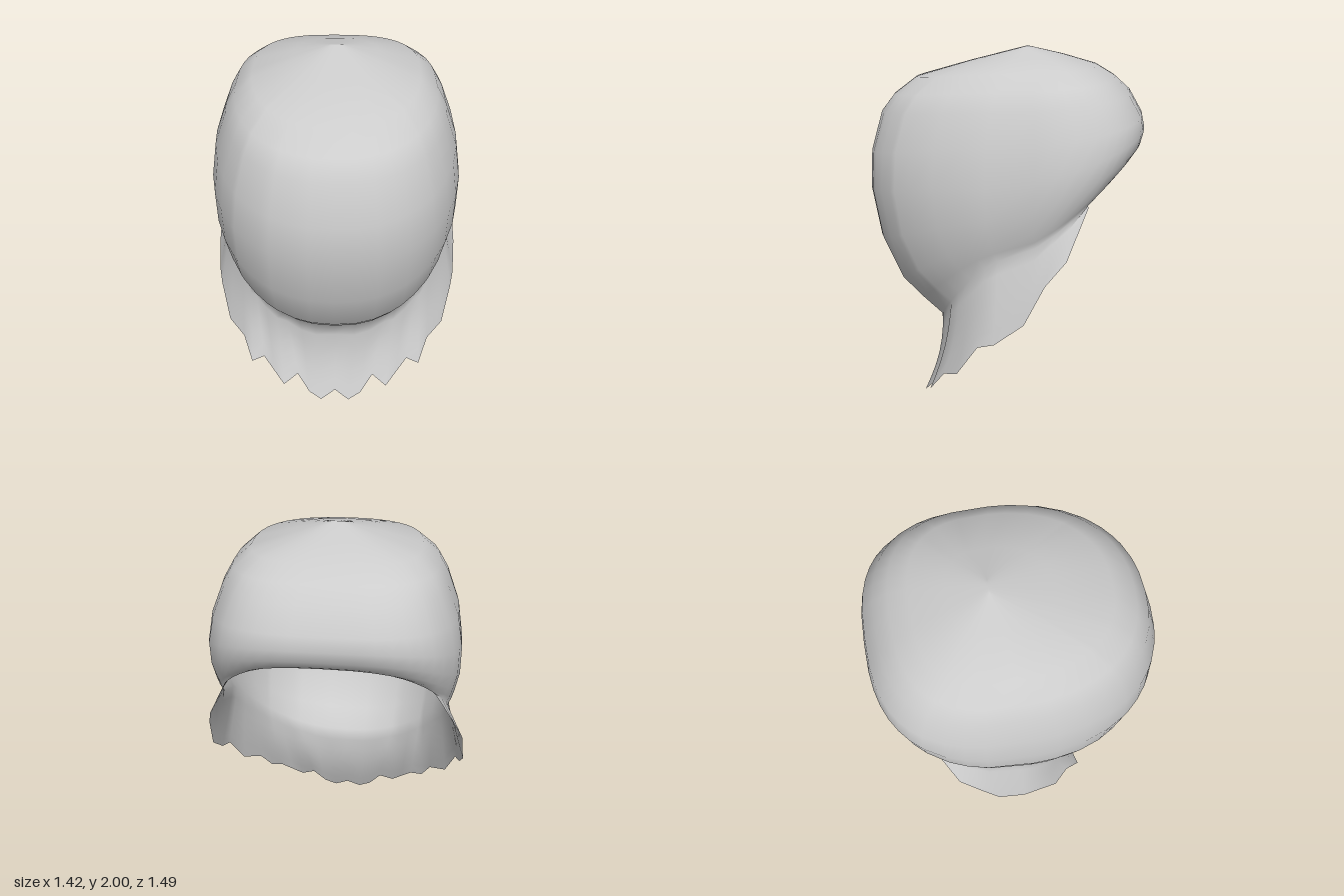
import * as THREE from 'three';

const paleGrey = new THREE.MeshStandardMaterial({ color: 0xcccccc, side: THREE.DoubleSide });
paleGrey.name = 'paleGrey';

// Hood rings from crown to rim: front [z, y], side [x, y, z], back [z, y]
const RINGS = [
  [[-0.11, 2.0], [0.03, 2.0, -0.11], [-0.11, 2.0]],
  [[0.2, 1.92], [0.22, 1.95, -0.1], [-0.3, 1.955]],
  [[0.48, 1.84], [0.43, 1.89, -0.08], [-0.48, 1.9]],
  [[0.6, 1.75], [0.52, 1.81, -0.07], [-0.58, 1.84]],
  [[0.67, 1.66], [0.57, 1.72, -0.06], [-0.66, 1.77]],
  [[0.73, 1.45], [0.63, 1.56, -0.05], [-0.73, 1.65]],
  [[0.74, 1.25], [0.66, 1.37, -0.05], [-0.745, 1.58]],
  [[0.69, 0.97], [0.66, 1.21, -0.05], [-0.73, 1.52]],
  [[0.58, 0.72], [0.64, 1.1, -0.06], [-0.7, 1.48]],
  [[0.46, 0.6], [0.625, 1.04, -0.07], [-0.68, 1.465]],
  [[0.35, 0.5], [0.61, 1.0, -0.08], [-0.66, 1.46]],
];
const RIM = RINGS[RINGS.length - 1];

// Point on a tilted ring, squarer behind; phi = 0 at the front, PI at the back
function ringPoint([front, side, back], phi) {
  const c = Math.cos(phi), s = Math.sin(phi);
  const end = c > 0 ? front : back;
  const power = c > 0 ? 0.88 : 0.72;
  const t = Math.abs(c) ** power;
  return new THREE.Vector3(
    side[0] * Math.sign(s) * Math.abs(s) ** power,
    side[1] + (end[1] - side[1]) * t ** 1.5,
    side[2] + (end[0] - side[2]) * t
  );
}

// Jagged hem of the cape, from the front middle to the end at the side
const HALF_HEM = [
  [0, 0.05, 0.42], [0.08, 0, 0.45], [0.15, 0.04, 0.43], [0.22, 0.14, 0.38], [0.3, 0.09, 0.42],
  [0.36, 0.155, 0.37], [0.42, 0.22, 0.32], [0.49, 0.2, 0.34], [0.54, 0.32, 0.25], [0.63, 0.37, 0.16],
  [0.68, 0.55, 0.04], [0.7, 0.58, -0.05], [0.71, 0.7, -0.2], [0.69, 0.9, -0.3], [0.65, 1.02, -0.4],
  [0.53, 1.26, -0.49],
];

export function createModel() {
  const group = new THREE.Group();
  group.name = 'hood';

  const hem = [
    ...HALF_HEM.slice(1).reverse().map(([x, y, z]) => [-x, y, z]),
    ...HALF_HEM,
  ].map((p) => new THREE.Vector3(...p));
  const hemAngles = hem.map((p) => Math.atan2(p.x, p.z + 0.08));

  // Columns run along the hem, then round the back where there is no cape
  const endAngle = hemAngles[hem.length - 1];
  const backSteps = 14;
  const angles = [...hemAngles];
  for (let i = 1; i < backSteps; i++) {
    angles.push(endAngle + (i / backSteps) * 2 * (Math.PI - endAngle));
  }

  // Points of the hood rings, followed by the rows of the cape
  const points = RINGS.flatMap((ring) => angles.map((phi) => ringPoint(ring, phi)));
  const steps = 6;
  for (let k = 1; k <= steps; k++) {
    const v = k / steps;
    hem.forEach((p, i) => {
      const point = ringPoint(RIM, hemAngles[i]).lerp(p, v);
      // Slight inward sag below the rim
      point.z -= 0.035 * Math.sin(Math.PI * v) * Math.max(0, Math.cos(hemAngles[i]));
      points.push(point);
    });
  }

  const n = angles.length, m = hem.length;
  const hoodIndex = [], capeIndex = [];
  const quad = (index, a, b, c, d) => index.push(a, c, b, b, c, d);
  for (let r = 0; r < RINGS.length - 1; r++) {
    for (let i = 0; i < n; i++) {
      const a = r * n + i, b = r * n + (i + 1) % n;
      quad(hoodIndex, a, b, a + n, b + n);
    }
  }
  const rimStart = (RINGS.length - 1) * n, capeStart = RINGS.length * n;
  for (let k = 0; k < steps; k++) {
    const top = k === 0 ? rimStart : capeStart + (k - 1) * m;
    const bottom = capeStart + k * m;
    for (let i = 0; i < m - 1; i++) {
      quad(capeIndex, top + i, top + i + 1, bottom + i, bottom + i + 1);
    }
  }

  // Normals are shared so that the cape flows smoothly out of the hood
  const whole = new THREE.BufferGeometry().setFromPoints(points);
  whole.setIndex([...hoodIndex, ...capeIndex]);
  whole.computeVertexNormals();
  const addPart = (name, index) => {
    const geometry = whole.clone().setIndex(index);
    const mesh = new THREE.Mesh(geometry, paleGrey);
    mesh.name = name;
    group.add(mesh);
  };

  // Rounded hood, open below and behind
  addPart('hoodShell', hoodIndex);
  // Ragged cape hanging from the front and sides of the rim
  addPart('raggedCape', capeIndex);

  return group;
}
